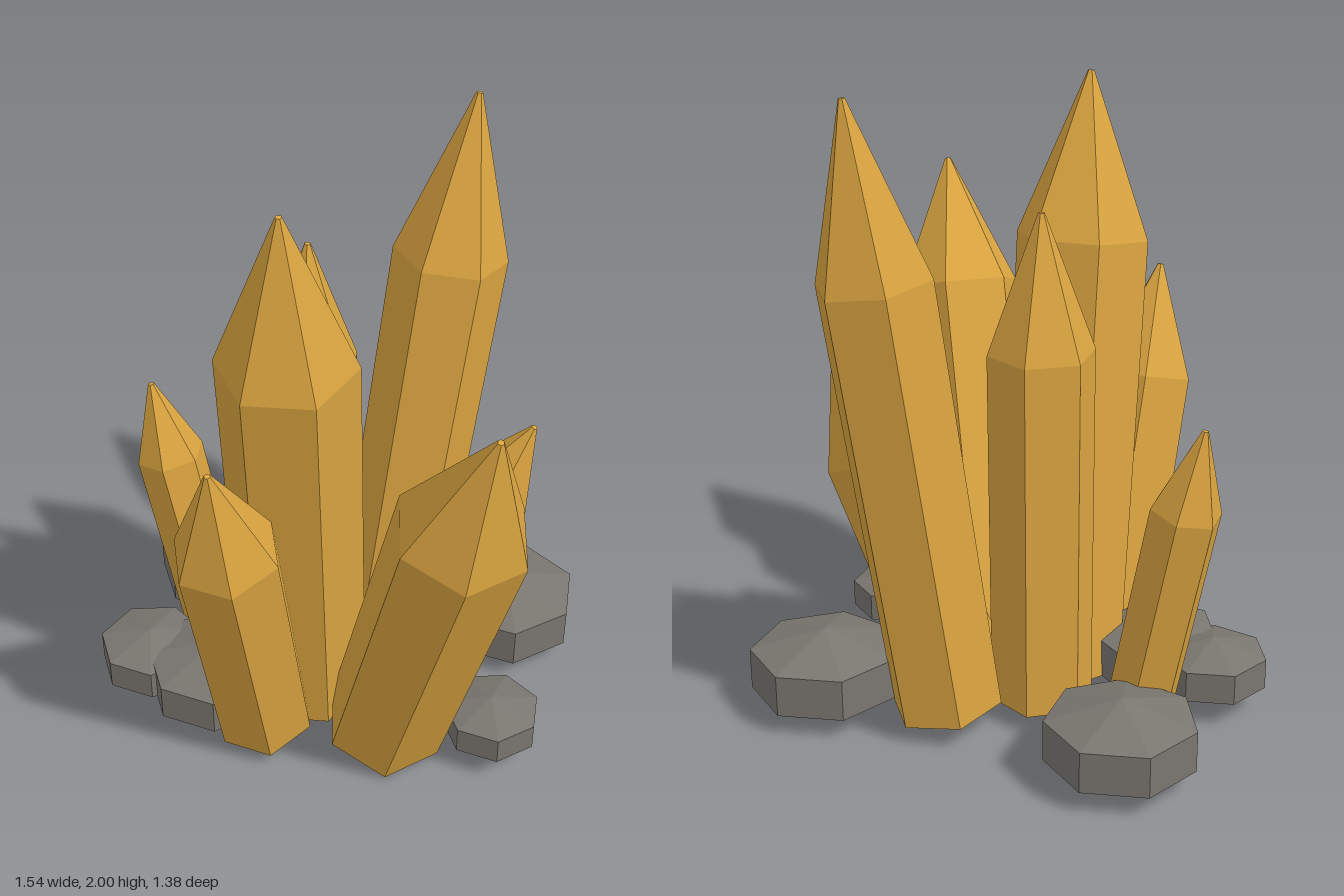
import * as THREE from 'three';

const amber = new THREE.MeshStandardMaterial({ color: 0xdba540, flatShading: true });
amber.name = 'amber crystal';
const stone = new THREE.MeshStandardMaterial({ color: 0x7a7670, flatShading: true });
stone.name = 'grey stone';

// Faceted solid of revolution; the first corner points at `angle` degrees, from +x towards +z
function faceted(profile, sides, angle) {
  const points = profile.map(([r, y]) => new THREE.Vector2(r, y));
  const start = THREE.MathUtils.degToRad(90 - angle);
  return new THREE.LatheGeometry(points, sides, start).toNonIndexed();
}

// Six-sided crystal running from base to tip, with a pointed end above the shoulder
function crystal({ name, base, tip, radius, shoulder, angle }) {
  const from = new THREE.Vector3(...base);
  const axis = new THREE.Vector3(...tip).sub(from);
  const length = axis.length();
  const geometry = faceted(
    [[0, 0], [radius * 0.98, 0], [radius, length * shoulder], [0.01, length], [0, length]], 6, angle);
  geometry.computeVertexNormals();
  const mesh = new THREE.Mesh(geometry, amber);
  mesh.name = name;
  mesh.position.copy(from);
  mesh.quaternion.setFromUnitVectors(new THREE.Vector3(0, 1, 0), axis.normalize());
  return mesh;
}

// Flat seven-sided pebble with shallow cones above and below
function rock({ x, z, radius, half }, i) {
  const geometry = faceted([[0, -half], [radius, -half / 2], [radius, half / 2], [0, half]], 7, -90);
  geometry.computeVertexNormals();
  const mesh = new THREE.Mesh(geometry, stone);
  mesh.name = `rock${i + 1}`;
  mesh.position.set(x, 0.14, z);
  return mesh;
}

const CRYSTALS = [
  { name: 'centreCrystal', base: [-0.065, 0.07, 0.09], tip: [-0.01, 1.98, 0.34], radius: 0.213, shoulder: 0.735, angle: -16 },
  { name: 'backCrystal', base: [0.075, 0.08, -0.34], tip: [0.25, 2.0, -0.54], radius: 0.182, shoulder: 0.725, angle: -19 },
  { name: 'leftFrontCrystal', base: [0.265, 0.075, 0.185], tip: [0.69, 1.585, 0.545], radius: 0.205, shoulder: 0.73, angle: 7 },
  { name: 'leftBackCrystal', base: [0.15, 0.08, -0.155], tip: [0.58, 1.08, -0.23], radius: 0.15, shoulder: 0.71, angle: 17 },
  { name: 'innerCrystal', base: [-0.125, 0.06, -0.1], tip: [-0.12, 1.64, -0.105], radius: 0.167, shoulder: 0.73, angle: 14 },
  { name: 'frontCrystal', base: [-0.11, 0.09, 0.315], tip: [-0.105, 1.31, 0.64], radius: 0.167, shoulder: 0.715, angle: 0 },
  { name: 'rightCrystal', base: [-0.446, 0.07, -0.04], tip: [-0.64, 1.05, -0.03], radius: 0.112, shoulder: 0.73, angle: 16 },
];

const ROCKS = [
  { x: -0.54, z: -0.305, radius: 0.235, half: 0.132 },
  { x: 0.47, z: -0.455, radius: 0.242, half: 0.136 },
  { x: 0.6, z: 0.095, radius: 0.157, half: 0.09 },
  { x: -0.56, z: 0.235, radius: 0.175, half: 0.1 },
  { x: -0.325, z: 0.25, radius: 0.217, half: 0.124 },
];

export function createModel() {
  const model = new THREE.Group();
  model.name = 'crystalCluster';
  const crystals = new THREE.Group();
  crystals.name = 'crystals';
  crystals.add(...CRYSTALS.map(crystal));
  const rocks = new THREE.Group();
  rocks.name = 'rocks';
  rocks.add(...ROCKS.map(rock));
  model.add(crystals, rocks);
  return model;
}
